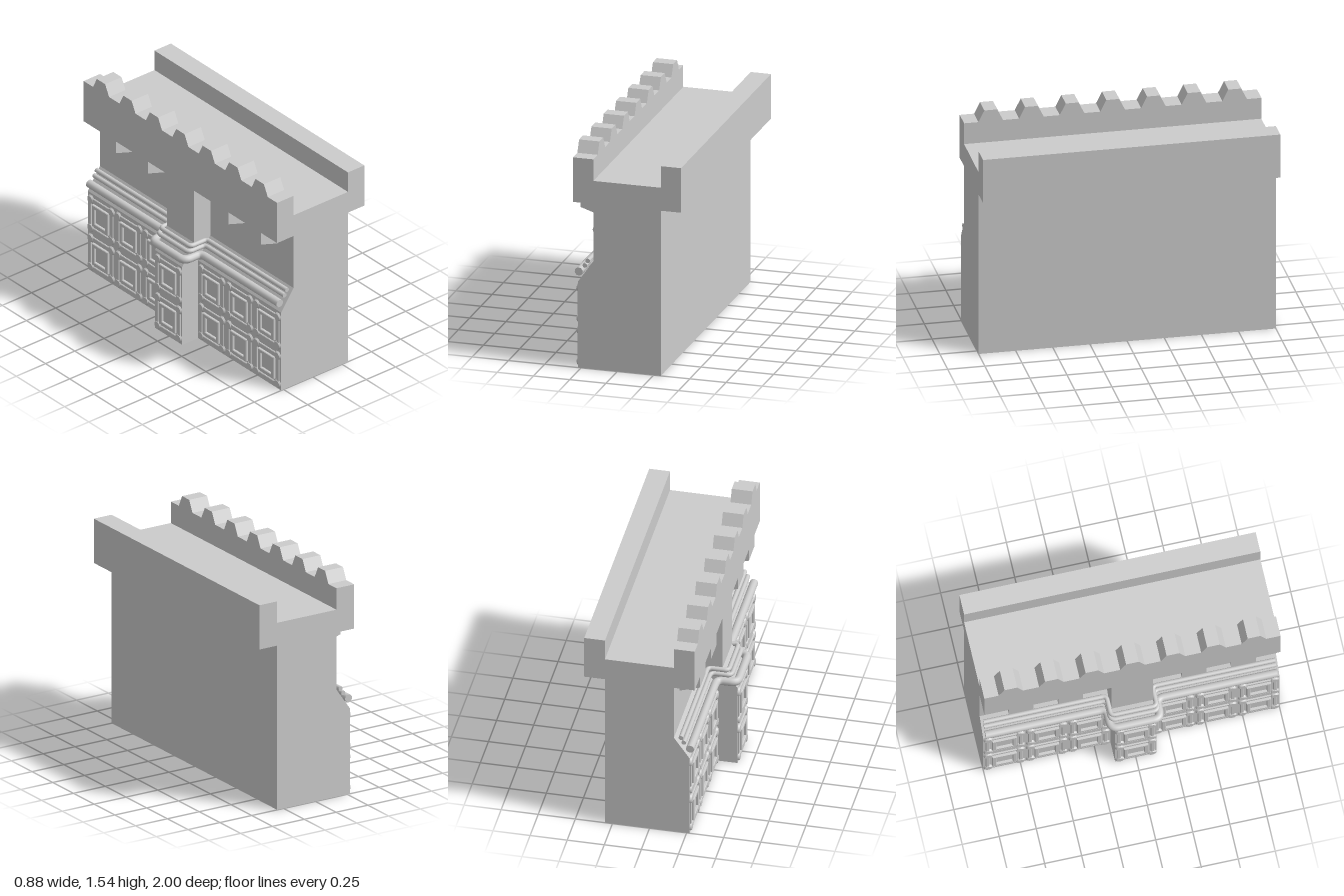
import * as THREE from 'three';

const grey = new THREE.MeshStandardMaterial({ color: 0xcccccc });

function add(parent, name, geometry) {
  const mesh = new THREE.Mesh(geometry, grey);
  mesh.name = name;
  parent.add(mesh);
  return mesh;
}

// Extrude an x-y outline along z between z0 and z1
function slab(points, z0, z1) {
  const shape = new THREE.Shape(points.map(p => new THREE.Vector2(...p)));
  return new THREE.ExtrudeGeometry(shape, { depth: z1 - z0, bevelEnabled: false }).translate(0, 0, z0);
}

// Square frame, bevelled, facing -x with its back at x = 0
function frame(size, hole, depth) {
  const square = (s, T) => new T([[-s, -s], [s, -s], [s, s], [-s, s]].map(p => new THREE.Vector2(...p)));
  const b = 0.004;
  const shape = square(size / 2 - b, THREE.Shape);
  shape.holes.push(square(hole / 2 + b, THREE.Path));
  return new THREE.ExtrudeGeometry(shape, {
    depth: depth - b, bevelSize: b, bevelThickness: b, bevelSegments: 1,
  }).rotateY(-Math.PI / 2);
}

// Decorated square wall panel
function panel(x, y, z) {
  const group = new THREE.Group();
  group.name = 'wallPanel';
  add(group, 'outerFrame', frame(0.25, 0.2, 0.009));
  add(group, 'innerFrame', frame(0.165, 0.11, 0.017));
  for (const sy of [-1, 1]) for (const sz of [-1, 1]) {
    const stud = add(group, 'cornerStud', new THREE.CylinderGeometry(0.026, 0.034, 0.013, 8));
    stud.geometry.rotateY(Math.PI / 8).rotateZ(Math.PI / 2);
    stud.position.set(-0.006, sy * 0.108, sz * 0.108);
  }
  group.position.set(x, y, z);
  return group;
}

// Pipe running along the wall and stepping around the buttress
function pipe(x, y, radius, side, bend) {
  const out = x - 0.14, end = 0.985;
  const pts = [[x, -end], [x, -side], [out, -side], [out, side], [x, side], [x, end]]
    .map(p => new THREE.Vector3(p[0], y, p[1]));
  const path = new THREE.CurvePath();
  let from = pts[0];
  for (let i = 1; i < pts.length - 1; i++) {
    const a = pts[i].clone().add(pts[i - 1].clone().sub(pts[i]).setLength(bend));
    const b = pts[i].clone().add(pts[i + 1].clone().sub(pts[i]).setLength(bend));
    path.add(new THREE.LineCurve3(from, a));
    path.add(new THREE.QuadraticBezierCurve3(a, pts[i], b));
    from = b;
  }
  path.add(new THREE.LineCurve3(from, pts[5]));
  const group = new THREE.Group();
  group.name = 'pipe';
  add(group, 'pipeTube', new THREE.TubeGeometry(path, 220, radius, 12));
  for (const s of [-1, 1]) {
    const cap = add(group, 'pipeEnd', new THREE.CircleGeometry(radius, 12));
    cap.position.set(x, y, s * end);
    if (s < 0) cap.rotation.y = Math.PI;
  }
  return group;
}

export function createModel() {
  const model = new THREE.Group();
  model.name = 'fortressWall';

  // Wall with walkway and both parapets
  add(model, 'wallBody', slab([
    [-0.27, 0], [0.3, 0], [0.3, 1.15], [0.44, 1.15], [0.44, 1.46], [0.3, 1.46], [0.3, 1.31],
    [-0.165, 1.31], [-0.165, 1.46], [-0.305, 1.46], [-0.305, 1.15], [-0.165, 1.15],
    [-0.165, 0.75], [-0.27, 0.6],
  ], -1, 1));

  // Central buttress
  add(model, 'buttress', slab([
    [-0.405, 0], [-0.25, 0], [-0.25, 0.6], [-0.15, 0.75], [-0.15, 1.15],
    [-0.305, 1.15], [-0.305, 0.75], [-0.405, 0.6],
  ], -0.14, 0.14));

  // Corbels beneath the toothed parapet
  for (const z of [-5 / 6, -1 / 2, 1 / 3, 2 / 3]) {
    add(model, 'corbel', slab([[-0.305, 1.06], [-0.165, 1.015], [-0.165, 1.15], [-0.305, 1.15]], z, z + 1 / 6));
  }

  // Tapered teeth along the parapet
  for (let i = -3; i <= 3; i++) {
    const tooth = slab([[-0.083, 0], [0.083, 0], [0.043, 0.08], [-0.043, 0.08]], -0.07, 0.07);
    add(model, 'parapetTooth', tooth.rotateY(Math.PI / 2)).position.set(-0.235, 1.46, i * 0.2735);
  }

  // Two rows of panels on the wall and buttress
  for (const y of [0.148, 0.445]) {
    for (let i = -3; i <= 3; i++) {
      model.add(panel(i === 0 ? -0.405 : -0.27, y, i * 0.286));
    }
  }

  // Three stacked pipes
  model.add(pipe(-0.27, 0.664, 0.028, 0.168, 0.05));
  model.add(pipe(-0.228, 0.71, 0.016, 0.16, 0.035));
  model.add(pipe(-0.208, 0.744, 0.016, 0.155, 0.03));

  return model;
}
